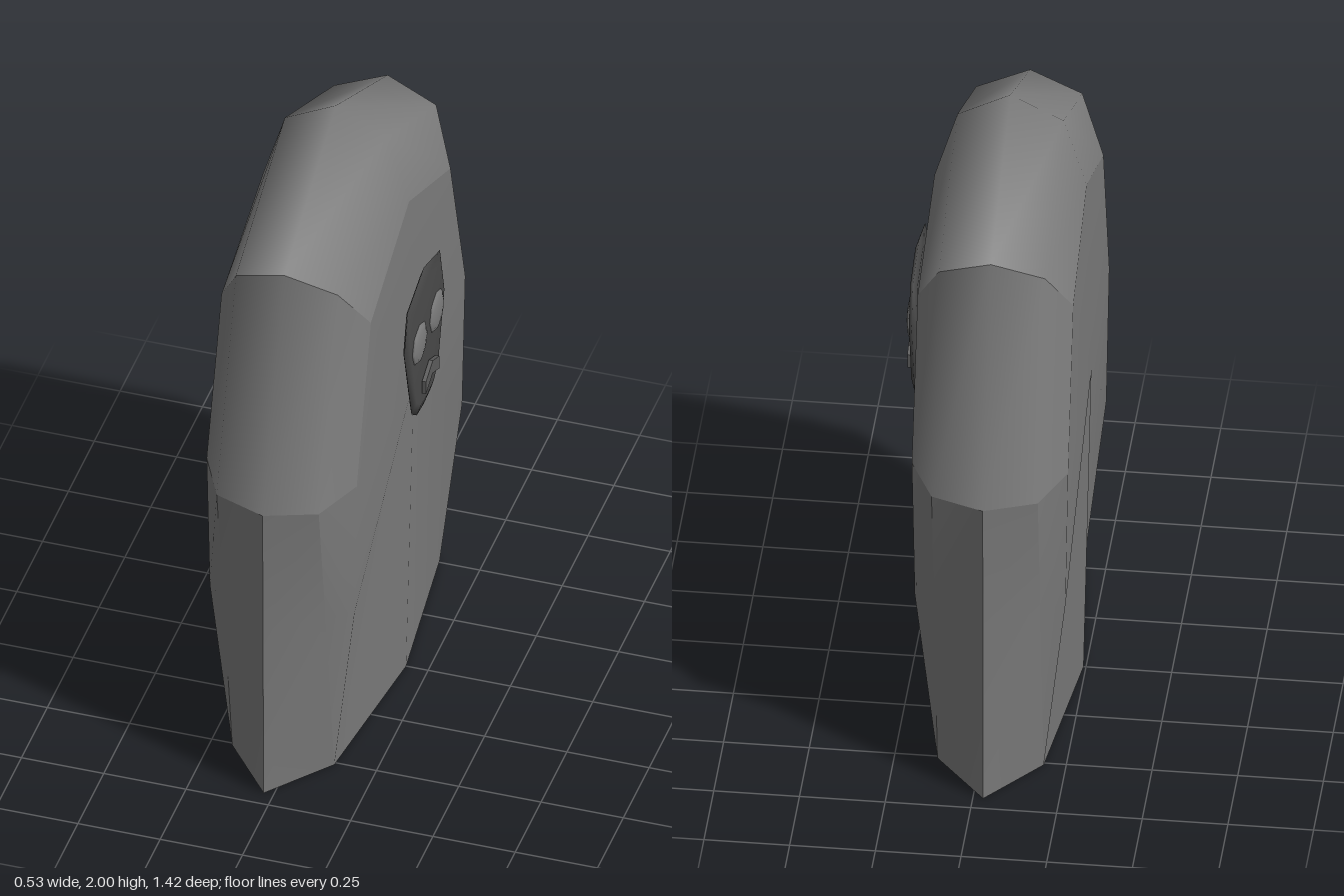
import * as THREE from 'three';
import { mergeVertices } from 'three/addons/utils/BufferGeometryUtils.js';

const MID = -0.03; // x of the slab's centre plane

const stone = new THREE.MeshStandardMaterial({ color: 0x7b7b7b, side: THREE.DoubleSide });
const dark = new THREE.MeshStandardMaterial({ color: 0x494949 });
const mouthGrey = new THREE.MeshStandardMaterial({ color: 0x5c5c5c, flatShading: true });

function add(group, name, geometry, material) {
  const mesh = new THREE.Mesh(geometry, material);
  mesh.name = name;
  group.add(mesh);
  return mesh;
}

// Smooth surface from a list of [a, b, c] corner triples
function surface(triangles) {
  let g = new THREE.BufferGeometry();
  g.setAttribute('position', new THREE.Float32BufferAttribute(triangles.flat(2), 3));
  g = mergeVertices(g);
  g.computeVertexNormals();
  return g;
}

// Skin over rows of points
function skin(rows) {
  const triangles = [];
  for (let i = 0; i < rows.length - 1; i++) {
    for (let j = 0; j < rows[i].length - 1; j++) {
      const a = rows[i][j], b = rows[i + 1][j], c = rows[i][j + 1], d = rows[i + 1][j + 1];
      triangles.push([a, b, c], [b, d, c]);
    }
  }
  return surface(triangles);
}

// Cross-section of the slab's rim: [half thickness, z, y] from face edge to ridge
function rimRow([edge, bevel, ridge], s) {
  const p = ([h, z, y], side) => [MID + side * h, y, s * z];
  return [p(edge, 1), p(bevel, 1), p(ridge, 1), p(bevel, -1), p(edge, -1)];
}

// Broad, slightly bowed face, with the narrow flanks that taper to the base corners
function faceGeometry(rows, side) {
  const edge = side > 0 ? 0 : 4, bevel = side > 0 ? 1 : 3;
  const centre = [MID + side * 0.236, 1.05, 0];
  const ring = [...rows.map((r) => r[edge]), [MID + side * 0.213, 0, 0]];
  const triangles = ring.map((p, i) => [centre, ring[(i + 1) % ring.length], p]);
  for (const [foot, mid, waist] of [[0, 1, 2], [8, 7, 6]]) {
    const flank = [
      [rows[foot][edge], rows[mid][edge], rows[mid][bevel]],
      [rows[mid][edge], rows[waist][edge], rows[waist][bevel]],
      [rows[mid][edge], rows[waist][bevel], rows[mid][bevel]],
    ];
    triangles.push(...(foot === 0 ? flank : flank.map(([a, b, c]) => [a, c, b])));
  }
  return surface(side > 0 ? triangles : triangles.map(([a, b, c]) => [a, c, b]));
}

function createTombstone() {
  const group = new THREE.Group();
  group.name = 'tombstone';
  const base = [[0.155, 0.51, 0], [0.155, 0.51, 0], [0, 0.70, 0]];
  const middle = [[0.22, 0.52, 0.58], [0.155, 0.596, 0.6], [0, 0.706, 0.6]];
  const waist = [[0.228, 0.525, 1.045], [0.155, 0.66, 1.025], [0, 0.71, 1.02]];
  const shoulder = [[0.227, 0.385, 1.54], [0.155, 0.475, 1.69], [0, 0.50, 1.745]];
  const apex = [[0.222, 0, 1.70], [0.155, 0, 1.92], [0, 0, 2]];
  const rows = [
    ...[base, middle, waist, shoulder, apex].map((r) => rimRow(r, 1)),
    ...[shoulder, waist, middle, base].map((r) => rimRow(r, -1)),
  ];

  // Rounded sides and the rounded top
  add(group, 'frontUpperSide', skin(rows.slice(2, 4)), stone);
  add(group, 'roundedTop', skin(rows.slice(3, 6)), stone);
  add(group, 'backUpperSide', skin(rows.slice(5, 7)), stone);

  // Lower ends: two panels each, meeting in a sharp ridge
  for (const [name, from] of [['front', 0], ['back', 6]]) {
    for (const [hand, col] of [['Left', 1], ['Right', 2]]) {
      const panel = rows.slice(from, from + 3).map((r) => r.slice(col, col + 2));
      add(group, name + hand + 'LowerPanel', skin(panel), stone);
    }
  }

  // The underside stays open
  add(group, 'leftFace', faceGeometry(rows, 1), stone);
  add(group, 'rightFace', faceGeometry(rows, -1), stone);
  return group;
}

function createSkull() {
  const group = new THREE.Group();
  group.name = 'skull';

  // Lens-shaped plate with a soft bevelled rim
  const half = [[0, 1.47], [0.155, 1.42], [0.19, 1.28], [0.12, 1.02], [0.07, 0.98], [0, 0.972]];
  const outline = [...half, ...half.slice(1, -1).reverse().map(([z, y]) => [-z, y])];
  const cy = 1.23;
  const loop = ([x, k]) => {
    const ring = outline.map(([z, y]) => [x, cy + (y - cy) * k, z * k]);
    return [...ring, ring[0]];
  };
  const profile = [[0.25, 0], [0.248, 0.86], [0.237, 1], [0.226, 0.86], [0.225, 0]];
  add(group, 'skullPlate', skin(profile.map(loop)), dark);

  // Domed eyes
  for (const side of [1, -1]) {
    const dome = new THREE.SphereGeometry(0.067, 8, 4, 0, Math.PI * 2, 0, Math.PI / 2);
    dome.scale(1, 0.21, 1);
    const eye = add(group, side > 0 ? 'frontEye' : 'backEye', dome, stone);
    eye.rotation.z = -Math.PI / 2;
    eye.position.set(0.248, 1.255, side * 0.081);
  }

  // Chevron mouth
  const shape = new THREE.Shape([
    [-0.065, 1.06], [0, 1.09], [0.065, 1.06], [0.065, 1.105], [0, 1.135], [-0.065, 1.105],
  ].map(([x, y]) => new THREE.Vector2(x, y)));
  const mouth = add(group, 'mouth',
    new THREE.ExtrudeGeometry(shape, { depth: 0.012, bevelEnabled: false }), mouthGrey);
  mouth.rotation.y = Math.PI / 2;
  mouth.position.x = 0.252;
  return group;
}

export function createModel() {
  const model = new THREE.Group();
  model.name = 'gravestone';
  model.add(createTombstone(), createSkull());
  return model;
}
